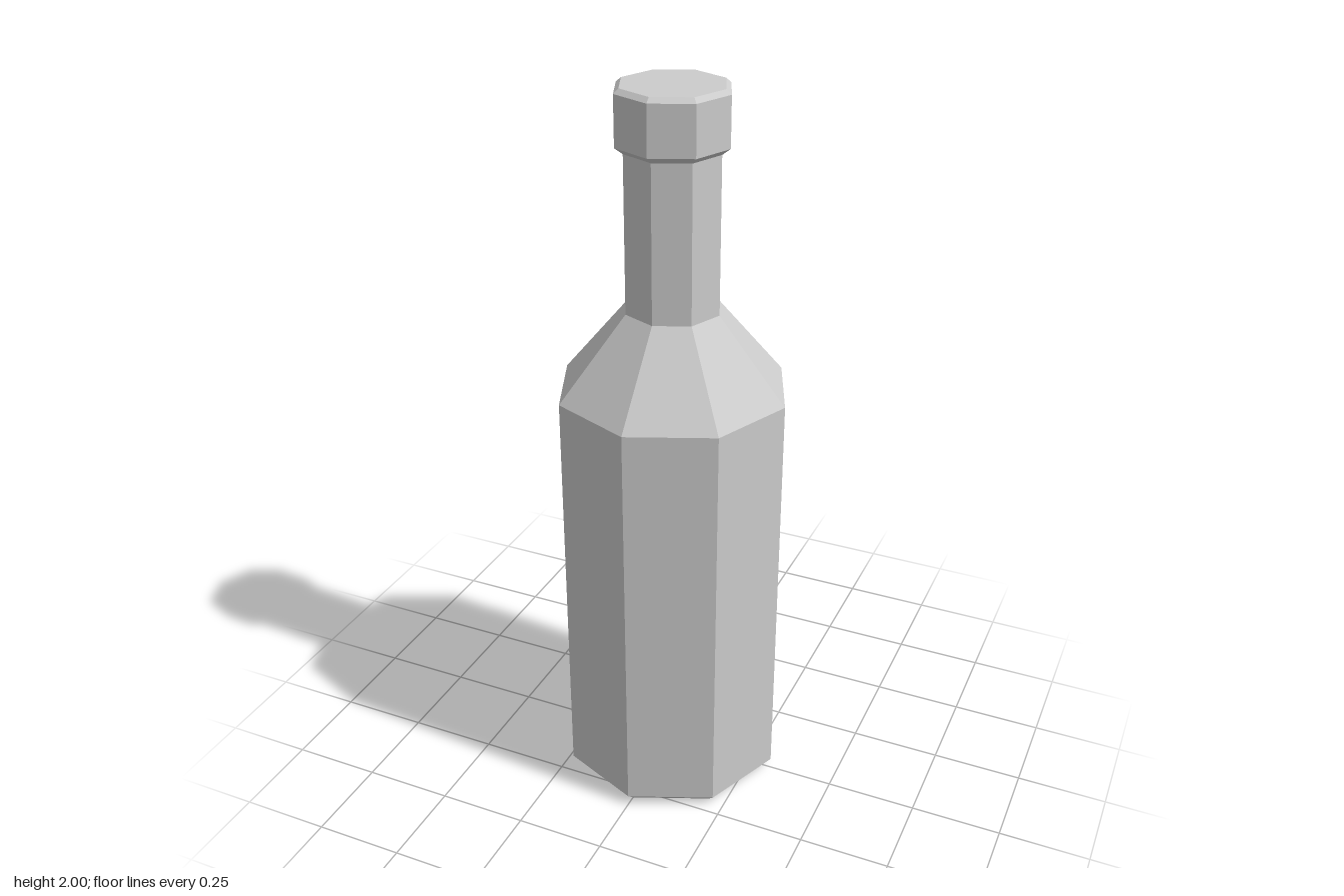
import * as THREE from 'three';

const SIDES = 8;

// Eight-sided turned part; profile is [radius, height] from bottom to top
function turned(name, profile, material) {
  const points = profile.map(([r, y]) => new THREE.Vector2(r, y));
  const mesh = new THREE.Mesh(new THREE.LatheGeometry(points, SIDES), material);
  mesh.name = name;
  return mesh;
}

export function createModel() {
  const material = new THREE.MeshStandardMaterial({ color: 0xcccccc, flatShading: true });
  const bottle = new THREE.Group();
  bottle.name = 'bottle';

  bottle.add(
    // Flat base with a bevelled foot, then straight walls
    turned('body', [[0, 0], [0.284, 0], [0.316, 0.03], [0.316, 1.195]], material),
    // Sloping shoulder
    turned('shoulder', [[0.316, 1.195], [0.13, 1.42]], material),
    // Straight neck
    turned('neck', [[0.13, 1.42], [0.13, 1.84]], material),
    // Wider cap, bevelled below and above
    turned('cap', [[0.13, 1.84], [0.152, 1.857], [0.152, 1.988], [0.138, 2], [0, 2]], material),
  );
  return bottle;
}
